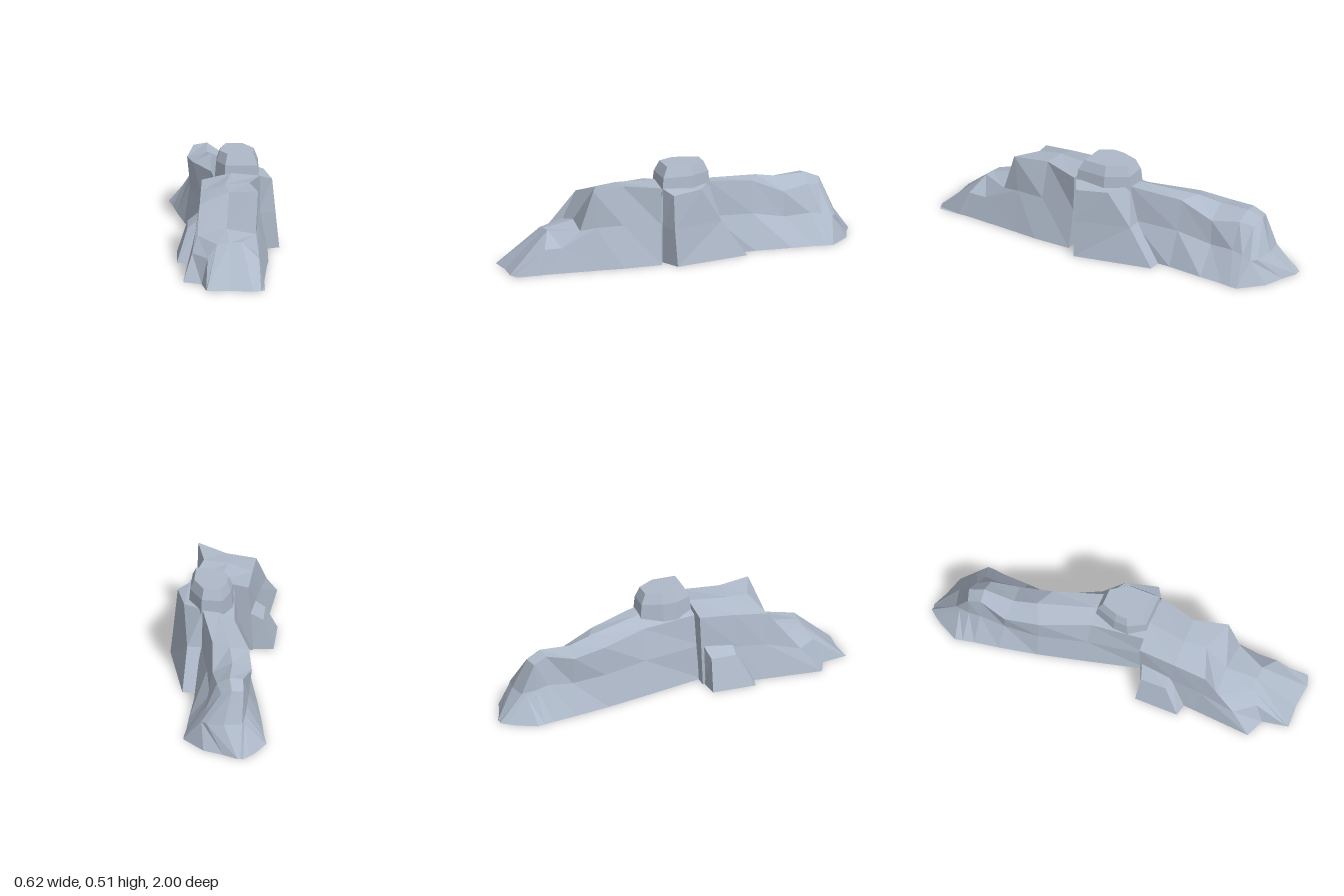
import * as THREE from 'three';

const stone = new THREE.MeshStandardMaterial({ color: 0xaeb9c9, flatShading: true, side: THREE.DoubleSide });
stone.name = 'blueGreyStone';

// Skins equal-length cross-sections; optionally loops them and caps the last.
function loft(name, rings, { closed = false, cap = false } = {}) {
  const pos = [];
  const tri = (...pts) => {
    const [a, b, c] = pts.map((p) => new THREE.Vector3(...p));
    if (b.sub(a).cross(c.sub(a)).length() > 1e-6) pts.forEach((p) => pos.push(...p));
  };
  const n = rings[0].length;
  for (let i = 0; i < rings.length - 1; i++) {
    for (let j = 0; j < (closed ? n : n - 1); j++) {
      const k = (j + 1) % n;
      const a = rings[i][j], c = rings[i + 1][k];
      tri(a, rings[i][k], c);
      tri(a, c, rings[i + 1][j]);
    }
  }
  if (cap) {
    const last = rings[rings.length - 1];
    for (let j = 1; j < n - 1; j++) tri(last[0], last[j], last[j + 1]);
  }
  const g = new THREE.BufferGeometry();
  g.setAttribute('position', new THREE.Float32BufferAttribute(pos, 3));
  g.computeVertexNormals();
  const mesh = new THREE.Mesh(g, stone);
  mesh.name = name;
  return mesh;
}

// Slice across the ridge: base, knee and shoulder of each wall, with a crest between.
function slice([zBase, zTop, zCrest, baseL, kneeL, topL, yL, yCrest, topR, yR, kneeR, baseR]) {
  const knee = (x, y) => [x, Math.max(y * 0.52, Math.min(y, 0.13)), (zBase + zTop) / 2];
  return [
    [baseL, 0, zBase], knee(kneeL, yL), [topL, yL, zTop],
    [(topL + topR) / 2, yCrest, zCrest],
    [topR, yR, zTop], knee(kneeR, yR), [baseR, 0, zBase],
  ];
}

export function createModel() {
  const group = new THREE.Group();
  group.name = 'rockRidge';

  // Front rock: sloping foot, ledge, cliff and flat top, from front to back
  group.add(loft('frontRock', [
    [0.975, 1, 0.99, -0.055, -0.052, -0.05, 0, 0, 0.2, 0, 0.24, 0.26],
    [0.86, 0.77, 0.77, -0.08, -0.05, 0, 0.195, 0.205, 0.13, 0.21, 0.225, 0.255],
    [0.82, 0.61, 0.6, -0.18, -0.135, -0.11, 0.2, 0.235, 0.2, 0.21, 0.22, 0.25],
    [0.5, 0.54, 0.48, -0.165, -0.125, -0.1, 0.35, 0.405, 0.21, 0.425, 0.205, 0.255],
    [0.38, 0.36, 0.36, -0.16, -0.12, -0.1, 0.37, 0.415, 0.16, 0.425, 0.2, 0.26],
    [0.17, 0.16, 0.15, -0.12, -0.11, -0.1, 0.385, 0.42, 0.21, 0.41, 0.21, 0.25],
  ].map(slice), { cap: true }));

  // Back rock: long ridge falling to a faceted tail
  group.add(loft('backRock', [
    [0.19, 0.19, 0.19, -0.05, -0.04, -0.02, 0.37, 0.4, 0.2, 0.4, 0.2, 0.2],
    [-0.15, -0.14, -0.15, -0.145, -0.1, -0.06, 0.35, 0.395, 0.11, 0.4, 0.12, 0.14],
    [-0.39, -0.4, -0.45, -0.21, -0.17, -0.165, 0.33, 0.365, 0.03, 0.36, 0.06, 0.13],
    [-0.59, -0.58, -0.57, -0.255, -0.185, -0.2, 0.31, 0.34, 0.01, 0.28, 0.025, 0.135],
    [-0.72, -0.73, -0.74, -0.28, -0.19, -0.17, 0.335, 0.345, -0.03, 0.3, 0.03, 0.135],
    [-0.78, -0.8, -0.82, -0.295, -0.19, -0.18, 0.3, 0.31, -0.06, 0.28, 0.035, 0.14],
    [-0.82, -0.87, -0.89, -0.305, -0.19, -0.18, 0.14, 0.14, 0.01, 0.13, 0.04, 0.14],
    [-0.93, -1, -0.995, -0.255, -0.228, -0.2, 0, 0, -0.17, 0, -0.09, 0.02],
  ].map(slice)));

  // Buttress leaning on the model's left
  group.add(loft('sideButtress', [
    [[0.2, 0, 0.15], [0.31, 0, 0.1], [0.2, 0, -0.32], [0.12, 0, -0.32]],
    [[0.2, 0.2, 0.15], [0.29, 0.2, 0.11], [0.19, 0.2, -0.18], [0.11, 0.2, -0.18]],
    [[0.21, 0.405, 0.15], [0.272, 0.38, 0.11], [0.22, 0.39, -0.06], [0.11, 0.4, -0.13]],
  ], { cap: true }));

  // Small spur on the model's right
  group.add(loft('sideSpur', [
    [[-0.11, 0, 0.18], [-0.23, 0, 0.19], [-0.225, 0, 0.43], [-0.13, 0, 0.45]],
    [[-0.08, 0.24, 0.17], [-0.175, 0.17, 0.2], [-0.17, 0.17, 0.34], [-0.08, 0.23, 0.34]],
  ], { closed: true, cap: true }));

  // Summit block: one outline narrowing upward
  const outline = [[-0.035, 0.06], [0.02, 0.155], [0.205, 0.155], [0.2, -0.02], [0.12, -0.14], [0, -0.14], [-0.035, -0.02]];
  const levels = [[0.36, 1], [0.46, 0.93], [0.515, 0.75]];
  group.add(loft('summitBlock', levels.map(([y, s]) =>
    outline.map(([x, z]) => [0.08 + (x - 0.08) * s, y, z * s])), { closed: true, cap: true }));

  return group;
}
